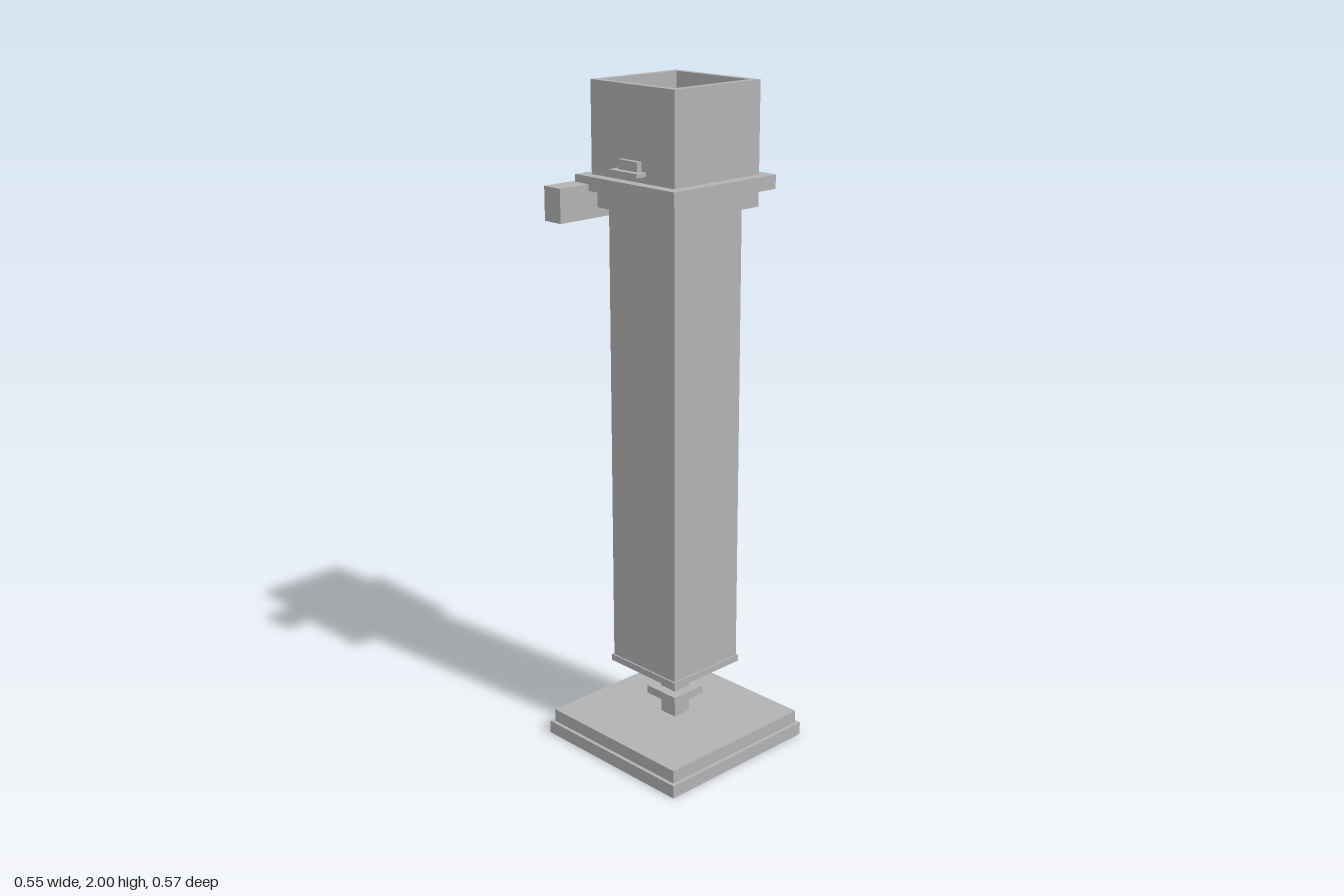
import * as THREE from 'three';

export function createModel() {
  const model = new THREE.Group();
  model.name = 'pedestalTower';
  const grey = new THREE.MeshStandardMaterial({ color: 0xb2b2b2 });
  grey.name = 'plain grey';

  // The column stands slightly behind the centre because of the forward arm
  const column = new THREE.Group();
  column.name = 'column';
  column.position.z = -0.015;
  model.add(column);

  function add(parent, name, geometry, x, y, z) {
    const mesh = new THREE.Mesh(geometry, grey);
    mesh.name = name;
    mesh.position.set(x, y, z);
    parent.add(mesh);
    return mesh;
  }

  // Square slab given by half width and bottom / top heights
  function slab(name, half, y0, y1) {
    const geometry = new THREE.BoxGeometry(half * 2, y1 - y0, half * 2);
    add(column, name, geometry, 0, (y0 + y1) / 2, 0);
  }

  // Square tube, open at both ends
  function square(path, h) {
    path.moveTo(-h, -h);
    path.lineTo(h, -h);
    path.lineTo(h, h);
    path.lineTo(-h, h);
    path.closePath();
    return path;
  }
  function tube(name, outer, inner, y0, y1) {
    const shape = square(new THREE.Shape(), outer);
    shape.holes.push(square(new THREE.Path(), inner));
    const geometry = new THREE.ExtrudeGeometry(shape, { depth: y1 - y0, bevelEnabled: false });
    geometry.rotateX(-Math.PI / 2);
    add(column, name, geometry, 0, y0, 0);
  }

  // Stepped base
  slab('baseLower', 0.273, 0, 0.04);
  slab('baseUpper', 0.262, 0.04, 0.08);

  // Stem with two square flanges
  slab('stem', 0.03, 0.08, 0.25);
  slab('stemFlangeLower', 0.06, 0.14, 0.165);
  slab('stemFlangeUpper', 0.06, 0.195, 0.22);

  // Hollow shaft on its foot plate
  slab('shaftFoot', 0.136, 0.25, 0.27);
  tube('shaft', 0.131, 0.116, 0.27, 1.95);

  // Collar and open cup around the shaft top
  tube('collarLower', 0.164, 0.131, 1.65, 1.70);
  tube('collarUpper', 0.197, 0.131, 1.70, 1.74);
  tube('cup', 0.164, 0.142, 1.74, 2);

  // Clips passing through the front and back cup walls
  for (const side of [1, -1]) {
    const clip = new THREE.Group();
    clip.name = side > 0 ? 'frontClip' : 'backClip';
    clip.position.z = side * 0.1425;
    column.add(clip);
    add(clip, 'clipPlate', new THREE.BoxGeometry(0.112, 0.012, 0.115), 0, 1.765, 0);
    add(clip, 'clipBlock', new THREE.BoxGeometry(0.076, 0.027, 0.075), 0, 1.7845, 0);
  }

  // Side arm reaching forward under the collar
  add(model, 'sideArm', new THREE.BoxGeometry(0.066, 0.097, 0.355), -0.175, 1.67, 0.1075);

  return model;
}
